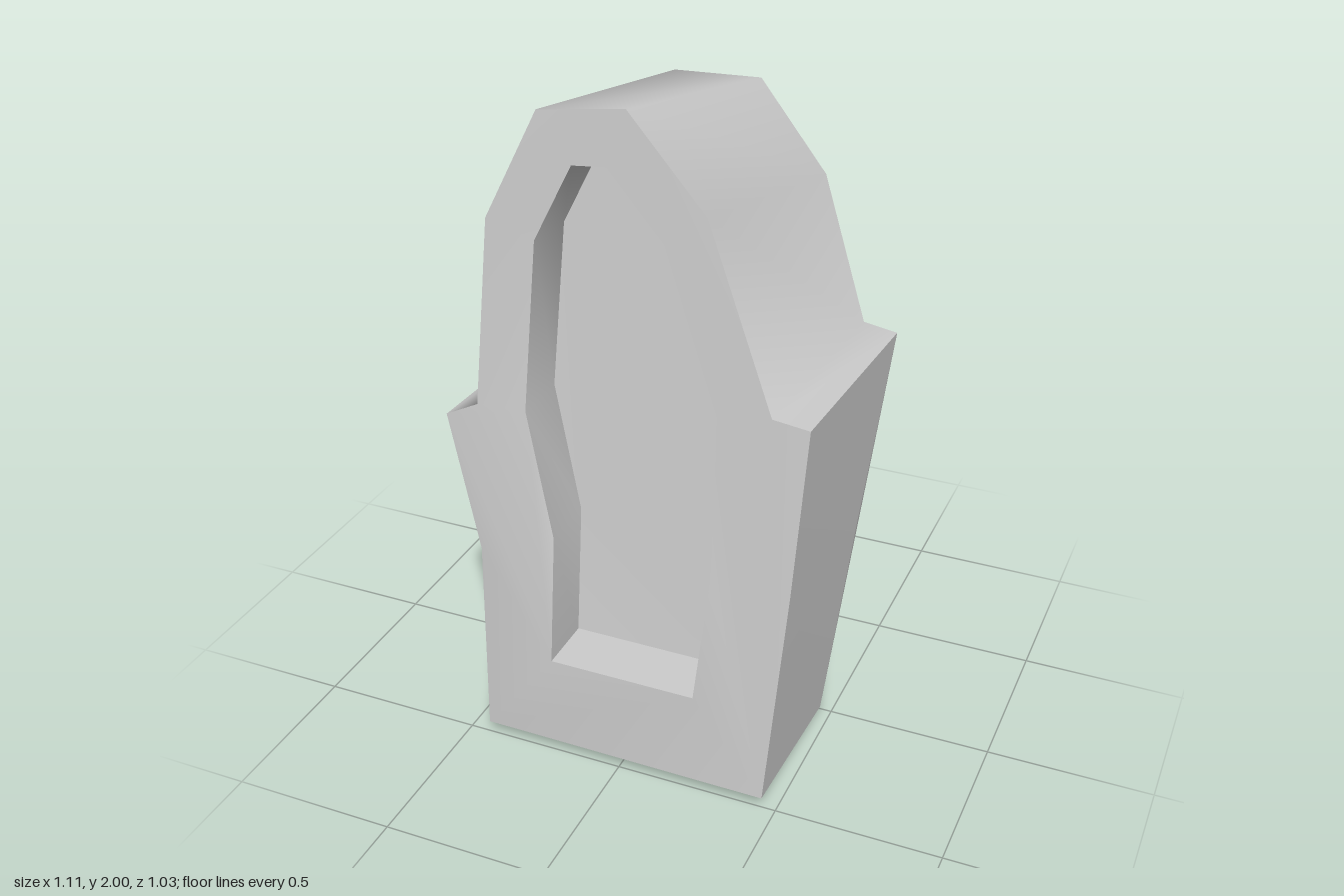
import * as THREE from 'three';
import { toCreasedNormals } from 'three/addons/utils/BufferGeometryUtils.js';

// Outlines run counter-clockwise from the lower left corner, as [x, y, z]
const frontEdge = [
  [-0.43, 0.045, 0.51], [0.46, 0.04, 0.51], [0.51, 0.72, 0.46], [0.54, 1.23, 0.427],
  [0.43, 1.24, 0.422], [0.22, 1.75, 0.362], [-0.02, 2.0, 0.332], [-0.28, 1.965, 0.332],
  [-0.43, 1.65, 0.365], [-0.457, 1.1, 0.422], [-0.557, 1.05, 0.427], [-0.45, 0.64, 0.46],
];
const backEdge = [
  [-0.43, 0, -0.01], [0.46, 0, -0.01], [0.52, 0.65, -0.11], [0.557, 1.2, -0.287],
  [0.45, 1.21, -0.3], [0.27, 1.6, -0.435], [0.03, 1.84, -0.515], [-0.25, 1.83, -0.515],
  [-0.41, 1.57, -0.435], [-0.457, 1.06, -0.29], [-0.557, 1.02, -0.28], [-0.45, 0.62, -0.11],
];
const rim = [
  [-0.205, 0.34, 0.515], [0.245, 0.34, 0.515], [0.275, 0.72, 0.46], [0.276, 1.215, 0.425],
  [0.1, 1.66, 0.37], [-0.073, 1.84, 0.346], [-0.175, 1.83, 0.346], [-0.28, 1.61, 0.372],
  [-0.302, 1.11, 0.425], [-0.212, 0.73, 0.457],
];
const recessDepth = 0.18;
const floorEdge = rim.map(([x, y, z]) => [x, y > 1.5 ? y - 0.012 : y, z - recessDepth]);
floorEdge[2][0] = 0.262;

const material = new THREE.MeshStandardMaterial({ color: 0xcccccc, side: THREE.DoubleSide });

function meshFrom(name, points, triangles) {
  const geometry = new THREE.BufferGeometry();
  geometry.setAttribute('position', new THREE.Float32BufferAttribute(points.flat(), 3));
  geometry.setIndex(triangles.flat());
  const mesh = new THREE.Mesh(toCreasedNormals(geometry, THREE.MathUtils.degToRad(67)), material);
  mesh.name = name;
  return mesh;
}

// Flat-ish face filling an outline, with an optional hole
function face(name, outline, hole = [], flip = false) {
  const to2D = (p) => new THREE.Vector2(p[0], p[1]);
  const inner = [...hole].reverse();
  const triangles = THREE.ShapeUtils.triangulateShape(
    outline.map(to2D), inner.length ? [inner.map(to2D)] : []);
  return meshFrom(name, [...outline, ...inner],
    flip ? triangles.map(([a, b, c]) => [a, c, b]) : triangles);
}

// Band of quads joining two matching outlines, starting at a given edge
function band(name, a, b, start = 0) {
  const n = a.length;
  const triangles = [];
  for (let i = start; i < n; i++) {
    const j = (i + 1) % n;
    triangles.push([i, j, n + j], [i, n + j, n + i]);
  }
  return meshFrom(name, [...a, ...b], triangles);
}

export function createModel() {
  const group = new THREE.Group();
  group.name = 'gravestone';
  group.add(
    face('frontFace', frontEdge, rim),
    face('backFace', backEdge, [], true),
    // The underside (edge 0) stays open
    band('outerWalls', backEdge, frontEdge, 1),
    band('recessWalls', rim, floorEdge),
    face('recessFloor', floorEdge),
  );
  return group;
}
